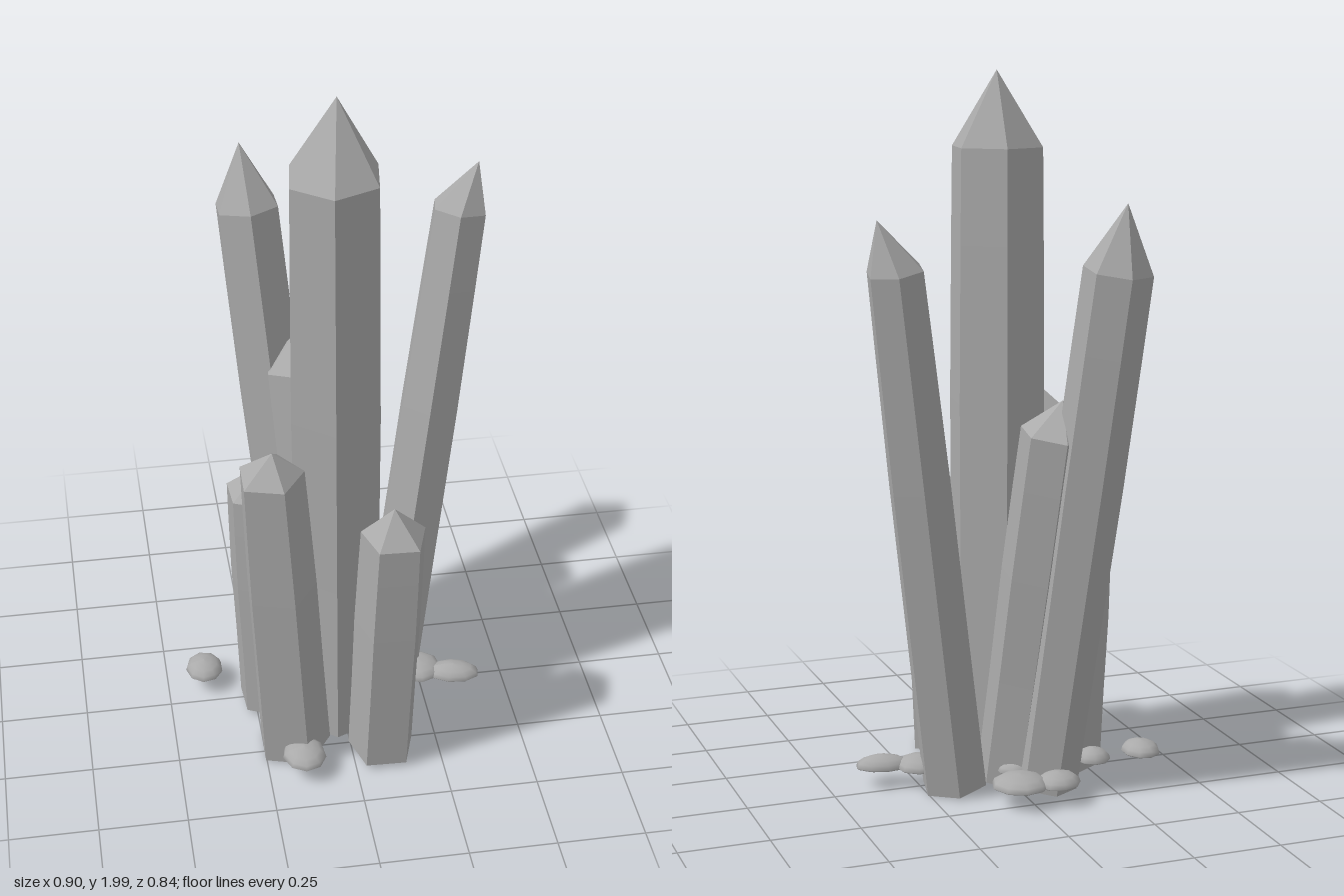
import * as THREE from 'three';

const stone = new THREE.MeshStandardMaterial({ color: 0xaaaaaa });
stone.name = 'grey stone';

// Facets between successive rings of points; end rings may collapse to one point
function skin(rings) {
  const pos = [];
  const n = rings[0].length;
  const last = rings.length - 2;
  for (let r = 0; r <= last; r++) {
    for (let i = 0; i < n; i++) {
      const j = (i + 1) % n;
      const a = rings[r][i], b = rings[r][j], c = rings[r + 1][j], d = rings[r + 1][i];
      if (r < last) pos.push(...a, ...d, ...c);
      if (r > 0) pos.push(...a, ...c, ...b);
    }
  }
  const geo = new THREE.BufferGeometry();
  geo.setAttribute('position', new THREE.Float32BufferAttribute(pos, 3));
  geo.computeVertexNormals();
  return geo;
}

// Leaning prism with a pointed tip; rings lie square to its axis
function crystal({ sides, phase, base, top, tip, r0, r1 }) {
  const b = new THREE.Vector3(...base);
  const t = new THREE.Vector3(...top);
  const dir = t.clone().sub(b).normalize();
  const ring = (c, r) => Array.from({ length: sides }, (_, i) => {
    const a = THREE.MathUtils.degToRad(phase) + (i / sides) * Math.PI * 2;
    const x = Math.cos(a) * r, z = Math.sin(a) * r;
    return [c.x + x, c.y - (dir.x * x + dir.z * z) / dir.y, c.z + z];
  });
  const body = [[0, 1], [0.3, 1.01], [0.6, 1.04], [0.85, 1.02], [1, 1]].map(([k, swell]) =>
    ring(b.clone().lerp(t, k), THREE.MathUtils.lerp(r0, r1, k) * swell));
  return skin([ring(b, 0), ...body, Array(sides).fill(tip)]);
}

// Flat-bottomed pebble with a low dome, smooth shaded
function pebble([x, z, rx, rz, turn]) {
  const geo = new THREE.SphereGeometry(1, 9, 8);
  const p = geo.attributes.position;
  for (let i = 0; i < p.count; i++) {
    const y = p.getY(i);
    p.setY(i, y < 0 ? y * 0.35 : y);
  }
  geo.scale(rx, 0.033, rz);
  geo.computeVertexNormals();
  geo.rotateY(turn);
  geo.translate(x, 0.064, z);
  return geo;
}

const crystals = {
  mainCrystal: { sides: 6, phase: -82, base: [-0.015, 0.02, 0.1], top: [-0.025, 1.79, 0.115], tip: [-0.015, 2, 0.092], r0: 0.136, r1: 0.132 },
  tallBackCrystal: { sides: 6, phase: -90, base: [-0.075, 0.025, -0.135], top: [-0.2, 1.49, -0.33], tip: [-0.215, 1.67, -0.355], r0: 0.09, r1: 0.094 },
  shortBackCrystal: { sides: 6, phase: -85, base: [-0.005, 0.025, -0.04], top: [-0.08, 1.04, -0.2], tip: [-0.095, 1.13, -0.205], r0: 0.095, r1: 0.1 },
  leaningCrystal: { sides: 6, phase: -80, base: [0.165, 0.025, -0.05], top: [0.375, 1.5, -0.205], tip: [0.425, 1.635, -0.21], r0: 0.095, r1: 0.08 },
  sideCrystal: { sides: 6, phase: -93, base: [-0.19, 0.025, 0.02], top: [-0.213, 0.76, -0.005], tip: [-0.21, 0.84, -0.01], r0: 0.108, r1: 0.106 },
  frontRightCrystal: { sides: 5, phase: 73, base: [-0.165, 0.02, 0.23], top: [-0.224, 1.0, 0.277], tip: [-0.22, 1.08, 0.292], r0: 0.108, r1: 0.093 },
  frontLeftCrystal: { sides: 5, phase: -90, base: [0.085, 0.025, 0.295], top: [0.11, 0.79, 0.315], tip: [0.108, 0.88, 0.315], r0: 0.098, r1: 0.094 },
};

// x, z, half width, half depth, turn
const pebbles = [
  [-0.39, -0.085, 0.055, 0.065, 0],
  [0.035, -0.23, 0.08, 0.082, 0.4],
  [0.245, 0.015, 0.07, 0.067, 0.2],
  [0.345, 0.05, 0.078, 0.046, -0.2],
  [-0.148, 0.342, 0.062, 0.073, 0.1],
  [-0.07, -0.25, 0.065, 0.06, 0.5],
  [0.0, -0.1, 0.058, 0.06, 0],
  [-0.235, -0.1, 0.05, 0.05, 0.3],
];

export function createModel() {
  const model = new THREE.Group();
  model.name = 'crystalCluster';
  const add = (name, geo) => {
    const mesh = new THREE.Mesh(geo, stone);
    mesh.name = name;
    model.add(mesh);
  };
  for (const [name, spec] of Object.entries(crystals)) add(name, crystal(spec));
  pebbles.forEach((p, i) => add(`pebble${i + 1}`, pebble(p)));
  return model;
}
